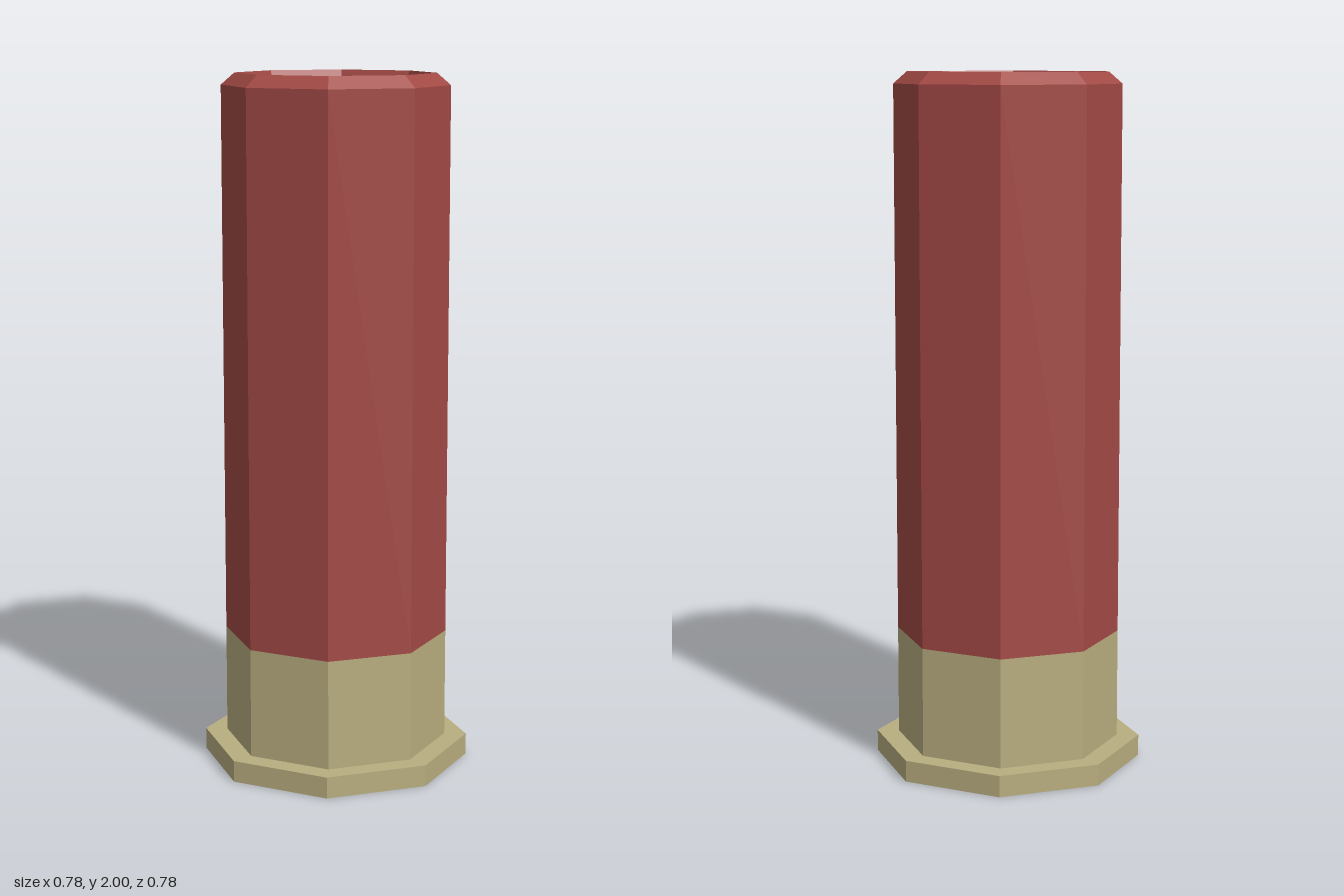
import * as THREE from 'three';

const SIDES = 8;

// Octagonal solid of revolution; profile is [radius, height], listed bottom to top outside
function turned(name, color, profile) {
  const points = profile.map(([r, y]) => new THREE.Vector2(r, y));
  const material = new THREE.MeshStandardMaterial({ color, flatShading: true });
  const mesh = new THREE.Mesh(new THREE.LatheGeometry(points, SIDES), material);
  mesh.name = name;
  return mesh;
}

export function createModel() {
  const group = new THREE.Group();
  group.name = 'cartridge';

  const rimR = 0.388, bodyR = 0.324, mouthR = 0.285, floorR = 0.243;
  const rimTop = 0.062, baseTop = 0.38, chamferY = 1.966, topY = 2, floorY = 1.89;

  // Brass base with a wide flat rim
  group.add(turned('brassBase', 0xb9ae80, [
    [0, 0], [rimR, 0], [rimR, rimTop], [bodyR, rimTop], [bodyR, baseTop],
  ]));

  // Red casing with a chamfered lip and a tapering recess
  group.add(turned('casing', 0xa34a45, [
    [bodyR, baseTop], [bodyR, chamferY], [mouthR, topY], [floorR, floorY],
  ]));

  // Dark disc closing the recess
  const disc = new THREE.Mesh(
    new THREE.CircleGeometry(floorR, SIDES).rotateX(-Math.PI / 2),
    new THREE.MeshStandardMaterial({ color: 0x4c4c4c, flatShading: true })
  );
  disc.name = 'recessFloor';
  disc.position.y = floorY;
  group.add(disc);

  return group;
}
